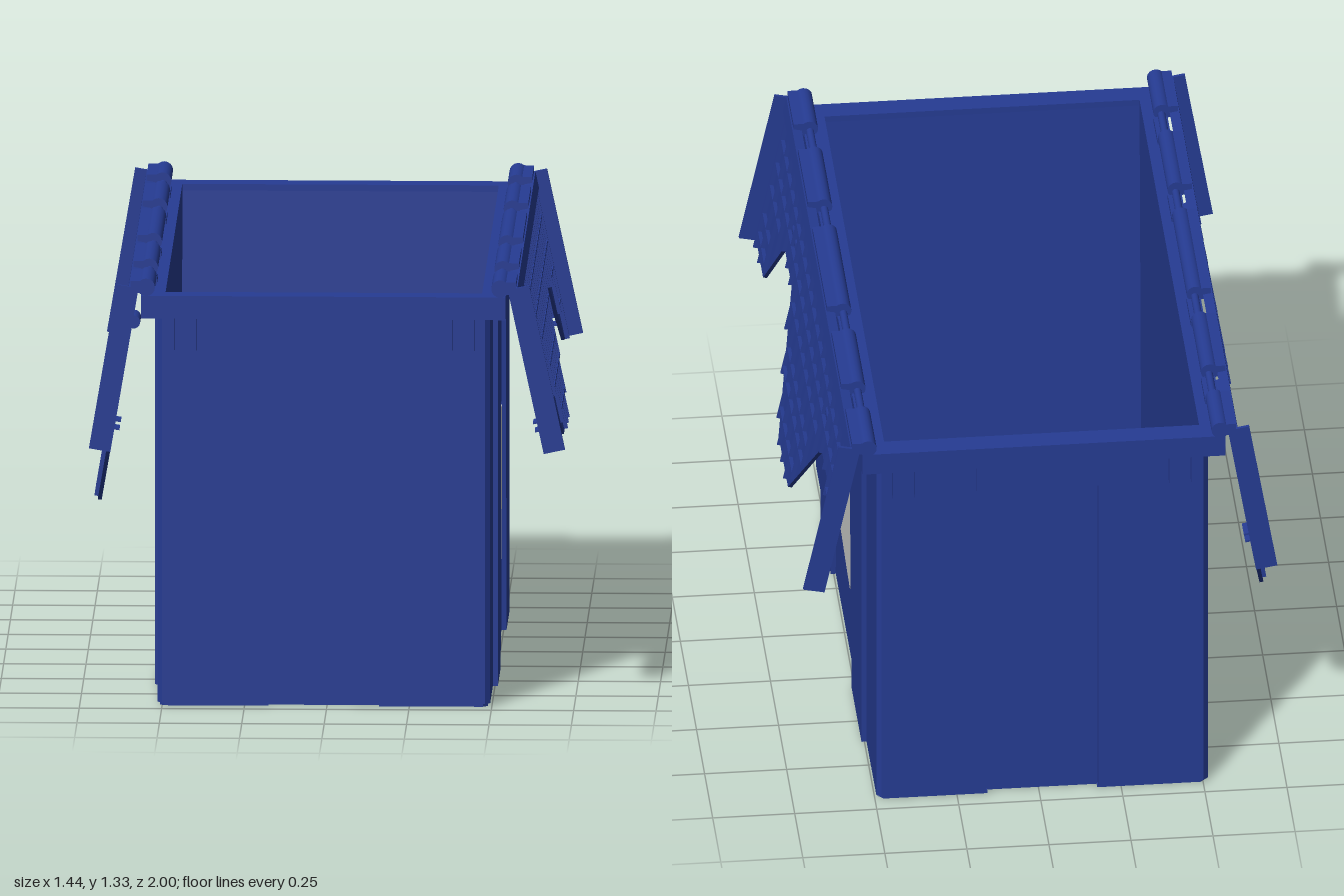
import * as THREE from 'three';

export function createModel() {
  const blue = new THREE.MeshStandardMaterial({ color: 0x263c94 });
  blue.name = 'blue plastic';
  const paper = new THREE.MeshStandardMaterial({ color: 0xcfd0ce });
  paper.name = 'label paper';

  const model = new THREE.Group();
  model.name = 'lidded crate';
  model.position.x = -0.01;

  const add = (parent, name, geo, mat = blue) => {
    const m = new THREE.Mesh(geo, mat);
    m.name = name;
    parent.add(m);
    return m;
  };
  // box given by its minimum and maximum corners
  const box = (parent, name, x0, x1, y0, y1, z0, z1) =>
    add(parent, name, new THREE.BoxGeometry(x1 - x0, y1 - y0, z1 - z0))
      .position.set((x0 + x1) / 2, (y0 + y1) / 2, (z0 + z1) / 2);
  const poly = (pts) => new THREE.Shape(pts.map(([a, b]) => new THREE.Vector2(a, b)));
  const rect = (x, z) => [[-x, -z], [x, -z], [x, z], [-x, z]];
  // horizontal outline raised from y0 to y1, with an optional hole
  const slab = (outline, y0, y1, hole) => {
    const s = poly(outline);
    if (hole) s.holes.push(poly(hole));
    return new THREE.ExtrudeGeometry(s, { depth: y1 - y0, bevelEnabled: false })
      .rotateX(-Math.PI / 2).translate(0, y0, 0);
  };
  // plate standing in the z/y plane, points are [z, y], thickness grows along +x
  const plate = (pts, x0, thick) =>
    new THREE.ExtrudeGeometry(poly(pts.map(([z, y]) => [-z, y])), { depth: thick, bevelEnabled: false })
      .rotateY(Math.PI / 2).translate(x0, 0, 0);
  const rod = (r, len) => new THREE.CylinderGeometry(r, r, len, 16).rotateX(Math.PI / 2);

  // Crate body: recessed end panels and clipped corners
  const quarter = [[0.17, 0.93], [0.17, 0.95], [0.49, 0.95], [0.505, 0.935]];
  const back = [...quarter].reverse();
  const outline = [
    ...quarter,
    ...back.map(([x, z]) => [x, -z]),
    ...quarter.map(([x, z]) => [-x, -z]),
    ...back.map(([x, z]) => [-x, z]),
  ];
  const inset = outline.map(([x, z]) => [x * 0.985, z * 0.992]);
  const inner = rect(0.48, 0.92);
  add(model, 'base', slab(inset, 0, 0.01));
  add(model, 'floor', slab(outline, 0.01, 0.03));
  add(model, 'walls', slab(outline, 0.03, 1.245, inner));

  // Rim: flat flange with a hanging skirt
  add(model, 'rimFlange', slab(rect(0.553, 0.99), 1.245, 1.27, inner));
  add(model, 'rimSkirt', slab(rect(0.553, 0.99), 1.2, 1.245, rect(0.541, 0.978)));

  // End details: sloped inner wall, handle lip and stiffening fins
  for (const s of [1, -1]) {
    const end = new THREE.Group();
    end.name = s > 0 ? 'frontEnd' : 'backEnd';
    end.rotation.y = s > 0 ? 0 : Math.PI;
    model.add(end);
    add(end, 'slopedInnerWall', plate([[0.92, 0.03], [0.92, 1.25], [0.87, 0.03]], -0.48, 0.96));
    box(end, 'handleLip', -0.203, 0.203, 1.1, 1.23, 0.92, 0.966);
    for (const x of [-0.455, -0.388, 0.388, 0.455]) {
      box(end, 'fin', x - 0.004, x + 0.004, 1.1, 1.23, 0.945, 0.982);
    }
  }

  // Lower edge of each lid half, as [z, y]; the two halves interlock
  const edge = [[1, 0.79], [0.78, 0.79], [0.6, 1.01], [0.38, 1.01], [0.06, 0.68],
    [-0.23, 0.68], [-0.54, 1.01], [-0.73, 1.01], [-0.94, 0.79], [-1, 0.79]];
  // the opposite half is turned half a circle, so its z runs the other way
  const otherEdge = edge.map(([z, y]) => [-z, 1.58 - y]).reverse();
  const TOP = 1.295;

  const edgeAt = (e, z) => {
    for (let i = 1; i < e.length; i++) {
      if (z <= e[i - 1][0] && z >= e[i][0]) {
        const t = (e[i - 1][0] - z) / (e[i - 1][0] - e[i][0]);
        return e[i - 1][1] + t * (e[i][1] - e[i - 1][1]);
      }
    }
    return 0.79;
  };

  function makeLid(e, angle) {
    const lid = new THREE.Group();
    lid.name = 'lidHalf';
    lid.position.set(0.56, TOP, 0);
    lid.rotation.z = angle;
    const down = (y) => (y - TOP) / Math.cos(angle);
    add(lid, 'lidSheet', plate([[-1, 0], [1, 0], ...e.map(([z, y]) => [z, down(y)])], 0, 0.012));
    box(lid, 'lidTopBar', 0.01, 0.03, down(1.245), 0, -0.99, 0.99);
    for (const s of [-1, 1]) {
      box(lid, 'lidEndPlate', 0, 0.066, down(0.79), 0, s * 0.995 - 0.005, s * 0.995 + 0.005);
      box(lid, 'lidEndRib', 0.01, 0.026, down(0.79), 0, s * 0.95 - 0.004, s * 0.95 + 0.004);
      const boss = add(lid, 'lidBoss', rod(0.02, 0.1));
      boss.position.set(-0.004, down(1.11), s * 0.5);
      for (const y of [0.85, 0.875]) {
        box(lid, 'lidCatch', -0.016, 0.002, down(y) - 0.003, down(y) + 0.003, s * 0.9 - 0.03, s * 0.9 + 0.03);
      }
    }
    // rib grid, trimmed to the interlocking edge
    const n = 20, step = 1.9 / n;
    const rows = [1.17, 1.09, 1.01, 0.91, 0.845, 0.76, 0.68];
    for (let i = 0; i < n; i++) {
      const z0 = -0.95 + i * step, z1 = z0 + step;
      const y0 = edgeAt(e, z0), y1 = edgeAt(e, z1);
      if (i > 0) box(lid, 'lidRib', 0.01, 0.024, down(y0) + 0.005, down(1.24), z0 - 0.003, z0 + 0.003);
      for (const y of rows) {
        if (y > y0 + 0.005 && y > y1 + 0.005) {
          box(lid, 'lidCrossRib', 0.01, 0.024, down(y) - 0.003, down(y) + 0.003, z0, z1);
        }
      }
    }
    return lid;
  }

  // Long sides: raised panels, hinge, lid half and label
  for (const s of [1, -1]) {
    const side = new THREE.Group();
    side.name = s > 0 ? 'leftSide' : 'rightSide';
    side.rotation.y = s > 0 ? 0 : Math.PI;
    model.add(side);

    for (const k of [1, -1]) {
      const pts = [[0.63, 0.008], [0.63, 1.245], [0.23, 1.245], [0.32, 0.008]].map(([z, y]) => [k * z, y]);
      add(side, 'raisedPanel', plate(pts, 0.5, 0.02));
      box(side, 'rimLedge', 0.518, 0.55, 1.27, 1.279, k > 0 ? 0.04 : -0.87, k > 0 ? 0.87 : -0.04);
    }

    // hinge: pin, lid barrels and rim knuckles between them
    add(side, 'hingePin', rod(0.012, 1.96)).position.set(0.535, 1.29, 0);
    for (const [a, b] of [[0.81, 1], [0.37, 0.67], [-0.22, 0.23], [-0.66, -0.36], [-1, -0.8]]) {
      add(side, 'hingeBarrel', rod(0.027, b - a)).position.set(0.537, 1.298, (a + b) / 2);
      box(side, 'hingeWeb', 0.54, 0.585, 1.28, 1.318, a, b);
    }
    for (const z of [0.74, 0.3, -0.29, -0.73]) {
      box(side, 'rimKnuckle', 0.51, 0.553, 1.265, 1.285, z - 0.065, z + 0.065);
    }

    side.add(makeLid(s > 0 ? edge : otherEdge, s > 0 ? 0.213 : 0.168));

    const label = s > 0
      ? [[0.235, 0.765], [0.25, 0.6], [0.272, 0.45], [0.285, 0.33], [0.26, 0.3], [0.1, 0.29], [-0.04, 0.27],
        [-0.16, 0.258], [-0.185, 0.3], [-0.195, 0.42], [-0.22, 0.55], [-0.23, 0.72], [0, 0.745], [0.15, 0.765]]
      : [[0.02, 0.75], [0.01, 0.64], [-0.06, 0.62], [-0.12, 0.65], [-0.11, 0.76]];
    add(side, 'label', plate(label, 0.503, 0.006), paper);
  }
  return model;
}
